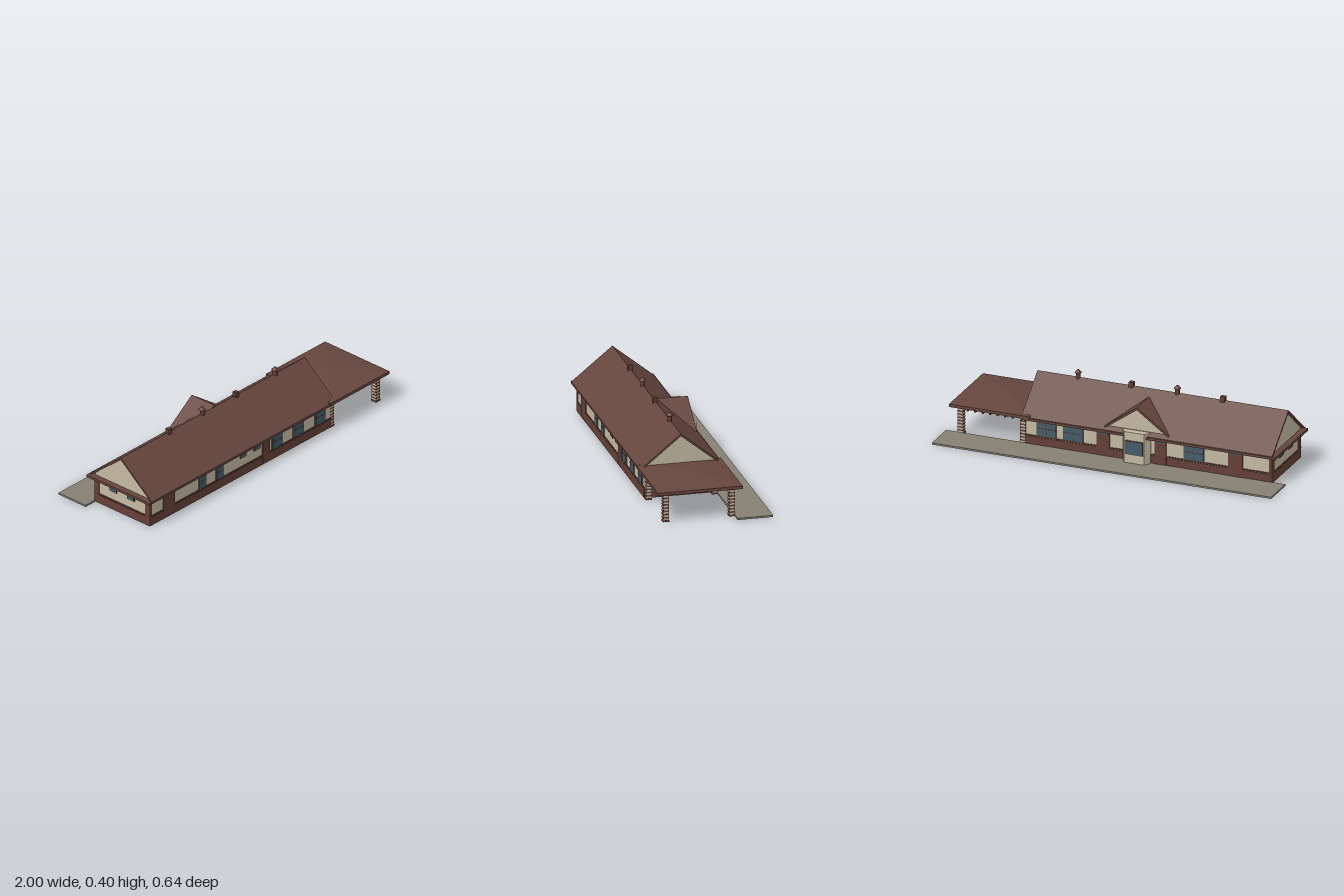
import * as THREE from 'three';

const mat = (name, color) => {
  const m = new THREE.MeshStandardMaterial({ color });
  m.name = name;
  return m;
};

export function createModel() {
  const root = new THREE.Group();
  root.name = 'depotBuilding';
  const roofBrown = mat('roofBrown', 0x66463e);
  const brick = mat('brickBrown', 0x653f37);
  const cream = mat('creamPlaster', 0xc4b9a2);
  const glass = mat('blueGlass', 0x435c68);
  const paving = mat('pavingGrey', 0x878074);

  const add = (name, geo, m, parent = root) => {
    const mesh = new THREE.Mesh(geo, m);
    mesh.name = name;
    parent.add(mesh);
    return mesh;
  };
  // Box given by its min and max on each axis
  const box = (name, x0, x1, y0, y1, z0, z1, m, parent = root) => {
    const mesh = add(name, new THREE.BoxGeometry(x1 - x0, y1 - y0, z1 - z0), m, parent);
    mesh.position.set((x0 + x1) / 2, (y0 + y1) / 2, (z0 + z1) / 2);
    return mesh;
  };
  const extrude = (pts, depth) => new THREE.ExtrudeGeometry(
    new THREE.Shape(pts.map(p => new THREE.Vector2(...p))), { depth, bevelEnabled: false });
  // Section in [z, y] carried along x
  const alongX = (pts, x0, x1) => extrude(pts.map(([z, y]) => [-z, y]), x1 - x0)
    .rotateY(Math.PI / 2).translate(x0, 0, 0);

  const W = -0.92, E = 0.53, F = 0.28, B = -0.12, RIDGE = 0.08;

  // Ground slabs
  box('platform', -1, 1, 0, 0.01, -0.32, B, paving);
  box('floor', W, E, 0, 0.01, B, F, paving);

  // Plastered walls with gable ends, brick base and sill band
  add('walls', alongX([[F, 0.01], [F, 0.182], [RIDGE, 0.345], [B, 0.182], [B, 0.01]], W, E), cream);
  box('brickBase', W - 0.004, E + 0.004, 0.004, 0.055, B - 0.004, F + 0.004, brick);
  box('sillBand', W - 0.005, E + 0.005, 0.058, 0.063, B - 0.005, F + 0.005, brick);
  for (const z of [B, F])
    box('cornerPost', W - 0.004, W + 0.015, 0.01, 0.16, z - (z > 0 ? 0.03 : 0.004), z + (z > 0 ? 0.004 : 0.03), brick);

  // Main roof and its eaves
  add('mainRoof', alongX([[0.31, 0.16], [0.31, 0.172], [RIDGE, 0.358], [-0.15, 0.172],
    [-0.15, 0.16], [RIDGE, 0.345]], -0.935, 0.545), roofBrown);
  box('eaves', -0.955, 0.545, 0.156, 0.17, -0.155, 0.308, roofBrown);

  // Rear gable dormer
  const dx = -0.13;
  add('dormerRoof', extrude([[-0.19, 0.176], [0, 0.312], [0.19, 0.176], [0.19, 0.19],
    [0, 0.326], [-0.19, 0.19]], 0.17).translate(dx, 0, -0.135), roofBrown);
  add('dormerGable', extrude([[-0.185, 0.178], [0.185, 0.178], [0, 0.314]], 0.1)
    .translate(dx, 0, -0.126), cream);

  // Rear bay
  const bay = extrude([[-0.08, 0.11], [0.08, 0.11], [0.08, 0.135], [0.058, 0.168],
    [-0.058, 0.168], [-0.08, 0.135]], 0.18);
  add('bay', bay.rotateX(-Math.PI / 2).translate(-0.128, 0.01, 0), cream);

  // Wall plates: a is the centre along the wall, placed on one of four sides
  const sides = {
    front: a => [a, F, 0],
    back: a => [a, B, Math.PI],
    bay: a => [a, -0.168, Math.PI],
    right: a => [E, a, Math.PI / 2],
    left: a => [W, a, -Math.PI / 2],
  };
  const onWall = (name, side, a0, a1) => {
    const [x, z, turn] = sides[side]((a0 + a1) / 2);
    const g = new THREE.Group();
    g.name = name;
    g.position.set(x, 0, z);
    g.rotation.y = turn;
    root.add(g);
    return g;
  };
  const addWindow = (side, a0, a1, y0, y1, rail = true, mullions = 0) => {
    const g = onWall('window', side, a0, a1);
    const h = (a1 - a0) / 2, t = 0.0035;
    box('windowFrame', -h, h, y0, y1, -0.002, 0.004, brick, g);
    box('windowGlass', -h + t, h - t, y0 + t, y1 - t, -0.002, 0.006, glass, g);
    const ym = (y0 + y1) / 2;
    if (rail) box('windowRail', -h + t, h - t, ym - 0.0015, ym + 0.0015, 0, 0.0075, brick, g);
    for (let i = 1; i <= mullions; i++) {
      const x = -h + 2 * h * i / (mullions + 1);
      box('windowMullion', x - 0.002, x + 0.002, y0, y1, 0, 0.0075, brick, g);
    }
  };
  const addDoor = (side, a0, a1) => {
    const g = onWall('door', side, a0, a1);
    const h = (a1 - a0) / 2;
    box('doorPanel', -h, h, 0.01, 0.156, -0.002, 0.006, brick, g);
    box('doorTransom', -h + 0.006, h - 0.006, 0.137, 0.152, 0, 0.0075, glass, g);
  };

  // Front openings
  for (const [a, b] of [[-0.53, -0.47], [-0.39, -0.33], [0.06, 0.145], [0.23, 0.315], [0.405, 0.49]])
    addWindow('front', a, b, 0.062, 0.156);
  for (const [a, b] of [[-0.195, -0.145], [-0.085, -0.033]]) addWindow('front', a, b, 0.114, 0.156, false);
  addDoor('front', -0.815, -0.725);
  addDoor('front', -0.016, 0.04);

  // Rear openings
  addWindow('back', 0.35, 0.465, 0.062, 0.156, true, 1);
  addWindow('back', 0.19, 0.31, 0.062, 0.156, true, 1);
  addWindow('back', -0.525, -0.4, 0.062, 0.156, true, 1);
  for (const [a, b] of [[0.035, 0.11], [-0.3, -0.23], [-0.75, -0.665]]) addDoor('back', a, b);
  addWindow('bay', -0.18, -0.076, 0.06, 0.142, false);

  // End openings
  addWindow('right', 0.018, 0.14, 0.06, 0.157);
  addWindow('left', -0.015, 0.04, 0.112, 0.15, false);
  addWindow('left', 0.115, 0.17, 0.112, 0.15, false);

  // Canopy: fascia, low hipped top and rafters
  const cx = 0.73, hw = 0.237, hd = 0.238;
  box('canopyFascia', cx - hw, cx + hw, 0.165, 0.182, RIDGE - hd, RIDGE + hd, roofBrown);
  const hip = new THREE.ConeGeometry(Math.SQRT2, 1, 4, 1, true).toNonIndexed();
  hip.rotateY(Math.PI / 4).scale(hw, 0.035, hd).translate(cx, 0.1995, RIDGE);
  hip.computeVertexNormals();
  add('canopyHip', hip, roofBrown);
  for (let i = 0; i < 7; i++) {
    const x = 0.6 + i * 0.044;
    box('canopyRafter', x - 0.005, x + 0.005, 0.15, 0.166, -0.145, 0.302, roofBrown);
  }
  for (const z of [-0.107, 0.264])
    box('canopyBeam', 0.53, 0.935, 0.157, 0.166, z - 0.012, z + 0.012, roofBrown);

  // Striped columns
  const courses = 16, y0 = 0.01, step = (0.158 - y0) / courses;
  for (const x of [0.546, 0.915]) for (const z of [-0.107, 0.264]) {
    const col = new THREE.Group();
    col.name = 'column';
    col.position.set(x, 0, z);
    root.add(col);
    box('columnFoot', -0.018, 0.018, 0, y0, -0.018, 0.018, brick, col);
    for (let i = 0; i < courses; i++) {
      const r = i % 2 ? 0.0162 : 0.0158;
      box('columnCourse', -r, r, y0 + i * step, y0 + (i + 1) * step, -r, r, i % 2 ? brick : cream, col);
    }
  }

  // Ridge chimneys and capped vents
  for (const x of [-0.55, -0.01])
    box('chimney', x - 0.013, x + 0.013, 0.34, 0.38, RIDGE - 0.013, RIDGE + 0.013, brick);
  for (const x of [-0.28, 0.305]) {
    add('ventPipe', new THREE.CylinderGeometry(0.013, 0.013, 0.045, 12), brick).position.set(x, 0.362, RIDGE);
    add('ventCap', new THREE.CylinderGeometry(0.005, 0.02, 0.017, 12), brick).position.set(x, 0.392, RIDGE);
  }
  return root;
}
